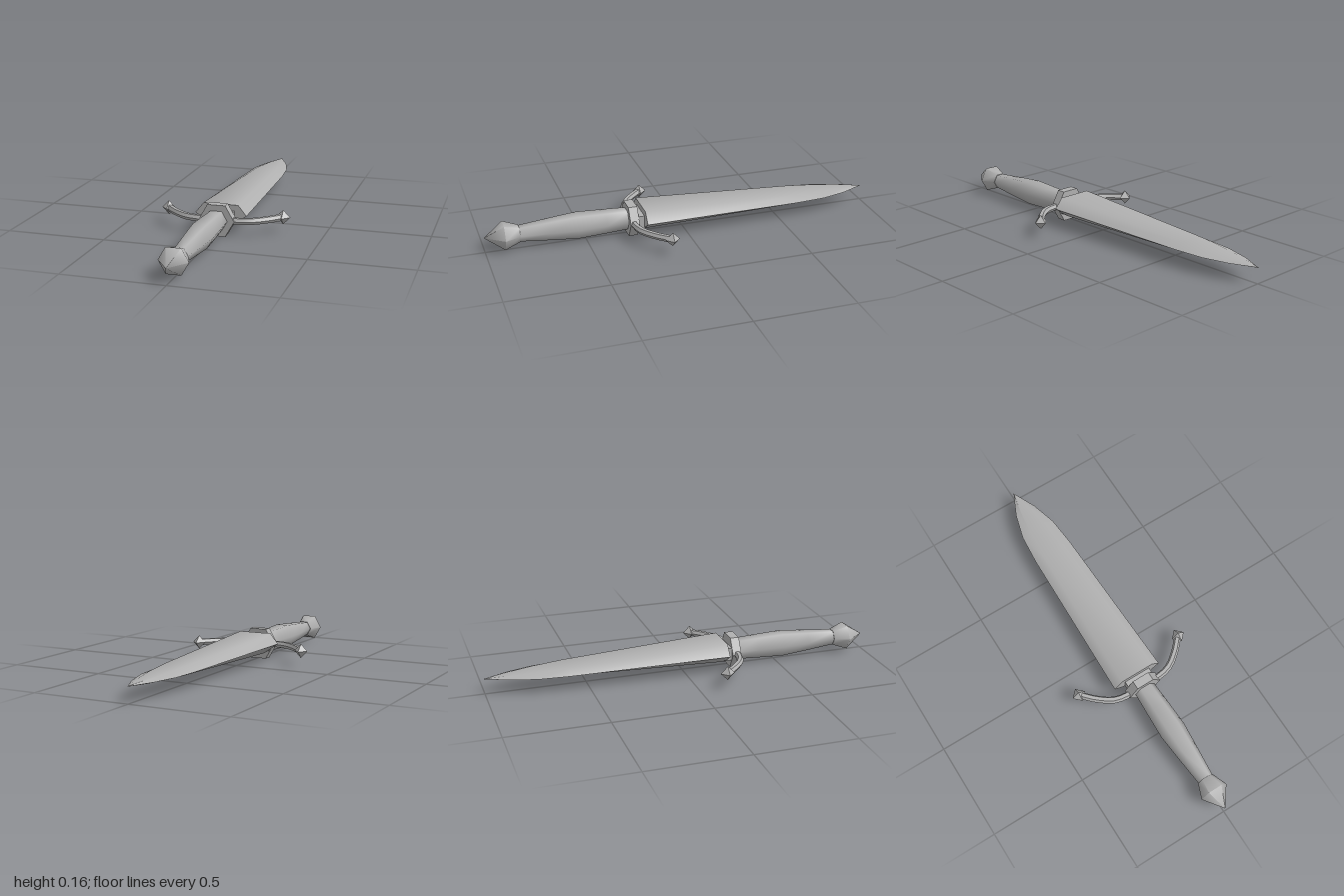
import * as THREE from 'three';
import { toCreasedNormals } from 'three/addons/utils/BufferGeometryUtils.js';

const MID = 0.08; // height of the dagger's long axis

// Skin a list of equal-sized rings (counter-clockwise about the travel direction) and cap the ends
function loft(rings, crease) {
  const n = rings[0].length;
  const index = [];
  for (let r = 0; r < rings.length - 1; r++) {
    for (let i = 0; i < n; i++) {
      const a = r * n + i;
      const b = r * n + ((i + 1) % n);
      index.push(a, b, a + n, b, b + n, a + n);
    }
  }
  const last = (rings.length - 1) * n;
  for (let i = 1; i < n - 1; i++) {
    index.push(0, i + 1, i, last, last + i, last + i + 1);
  }
  const geometry = new THREE.BufferGeometry().setFromPoints(rings.flat());
  geometry.setIndex(index);
  return toCreasedNormals(geometry, crease);
}

// Six-sided ring across the z axis, with corners pointing left and right
function hexRing(z, radius) {
  return Array.from({ length: 6 }, (_, i) => {
    const a = (i * Math.PI) / 3;
    return new THREE.Vector3(radius * Math.cos(a), MID + radius * Math.sin(a), z);
  });
}

const hexLoft = (profile, crease) => loft(profile.map(([z, r]) => hexRing(z, r)), crease);

// Blade section: cutting edges, wide upper flat, narrower lower flat
function bladeRing([z, edge, edgeY, top, topY, low, lowY]) {
  return [
    [edge, edgeY], [top, topY], [-top, topY],
    [-edge, edgeY], [-low, lowY], [low, lowY],
  ].map(([x, y]) => new THREE.Vector3(x, y, z));
}

// Curved guard arm, swept in the horizontal plane
function armGeometry(side) {
  const path = new THREE.CatmullRomCurve3(
    [[0.06, 0.27], [0.11, 0.269], [0.165, 0.254], [0.235, 0.203], [0.29, 0.145]]
      .map(([x, z]) => new THREE.Vector3(side * x, MID, z)));
  const up = new THREE.Vector3(0, 1, 0);
  const rings = [];
  for (let s = 0; s <= 8; s++) {
    const centre = path.getPointAt(s / 8);
    const across = up.clone().cross(path.getTangentAt(s / 8));
    rings.push(Array.from({ length: 6 }, (_, i) => {
      const a = (i * Math.PI) / 3;
      return centre.clone()
        .addScaledVector(across, 0.0175 * Math.cos(a))
        .addScaledVector(up, 0.0175 * Math.sin(a));
    }));
  }
  return loft(rings, 0.7);
}

export function createModel() {
  const group = new THREE.Group();
  const steel = new THREE.MeshStandardMaterial({ color: 0xb0b0b0 });
  steel.name = 'grey steel';

  const add = (name, geometry, x = 0, y = 0, z = 0) => {
    const mesh = new THREE.Mesh(geometry, steel);
    mesh.name = name;
    mesh.position.set(x, y, z);
    group.add(mesh);
  };

  // Blade, from tip to base
  add('blade', loft([
    [-1.0, 0.001, 0.08, 0.0005, 0.081, 0.0005, 0.079],
    [-0.88, 0.056, 0.081, 0.026, 0.091, 0.02, 0.071],
    [-0.75, 0.092, 0.082, 0.045, 0.1, 0.033, 0.065],
    [-0.6, 0.105, 0.083, 0.06, 0.108, 0.04, 0.059],
    [0.215, 0.13, 0.091, 0.088, 0.143, 0.052, 0.037],
  ].map(bladeRing), 1.1));

  // Neck joining the blade to the guard
  add('bladeNeck', new THREE.BoxGeometry(0.14, 0.065, 0.05), 0, MID, 0.23);

  // Guard collar, arms and arm finials
  add('guardCollar', hexLoft([[0.245, 0.09], [0.29, 0.09]], 0.5));
  for (const side of [1, -1]) {
    const name = side > 0 ? 'left' : 'right';
    add(name + 'GuardArm', armGeometry(side));
    add(name + 'GuardFinial', new THREE.OctahedronGeometry(0.036), side * 0.295, MID, 0.14);
  }

  // Grip, swelling in the middle
  add('grip', hexLoft([[0.285, 0.055], [0.4, 0.061], [0.54, 0.067], [0.68, 0.055], [0.835, 0.04]], 1.15));

  // Pommel
  add('pommel', hexLoft([[0.83, 0.043], [0.905, 0.072], [1.0, 0.001]], 1.06));

  return group;
}
